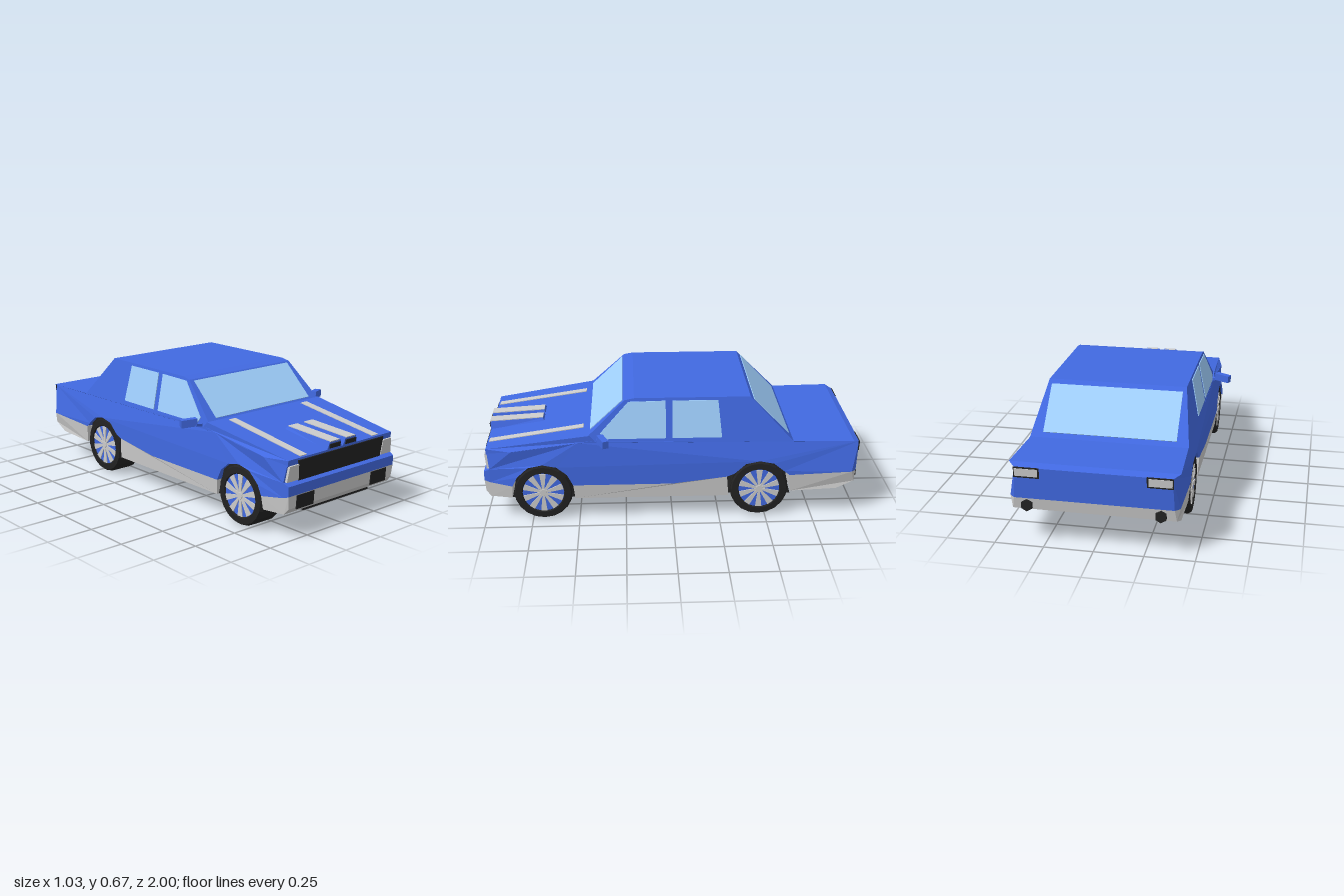
import * as THREE from 'three';

const mat = (color) => new THREE.MeshStandardMaterial({ color, flatShading: true, side: THREE.DoubleSide });
const BLUE = mat(0x4169e1), GREY = mat(0xcccccc), BLACK = mat(0x222222), GLASS = mat(0xa0d0ff);
const WHEEL_Y = 0.156, FRONT_Z = 0.69, REAR_Z = -0.465;

export function createModel() {
  const car = new THREE.Group();
  car.name = 'car';

  const add = (name, geo, material, parent = car) => {
    const mesh = new THREE.Mesh(geo, material);
    mesh.name = name;
    parent.add(mesh);
    return mesh;
  };

  // Side outline of [z, y] points, stretched across x from left(z, y) down to right(z, y)
  const slab = (name, pts, left, right, material) => {
    const shape = new THREE.Shape(pts.map(([z, y]) => new THREE.Vector2(z, y)));
    const geo = new THREE.ExtrudeGeometry(shape, { depth: 1, bevelEnabled: false });
    const p = geo.attributes.position;
    for (let i = 0; i < p.count; i++) {
      const z = p.getX(i), y = p.getY(i);
      p.setXYZ(i, p.getZ(i) < 0.5 ? left(z, y) : right(z, y), y, z);
    }
    geo.computeVertexNormals();
    return add(name, geo, material);
  };
  const wide = (name, pts, half, material) =>
    slab(name, pts, half, (z, y) => -half(z, y), material);
  const pair = (name, pts, outer, inner, material) => {
    slab(name + 'Left', pts, outer, inner, material);
    slab(name + 'Right', pts, (z, y) => -inner(z, y), (z, y) => -outer(z, y), material);
  };
  // Thin strip along the line a-b
  const strip = (a, b, t = 0.004) => {
    const len = Math.hypot(b[0] - a[0], b[1] - a[1]);
    const nz = -(b[1] - a[1]) / len * t, ny = (b[0] - a[0]) / len * t;
    return [[a[0] - nz, a[1] - ny], [b[0] - nz, b[1] - ny], [b[0] + nz, b[1] + ny], [a[0] + nz, a[1] + ny]];
  };
  const at = (x) => () => x;

  // Half widths of the body
  const plan = (z) => {
    if (z > 0.85) return 0.42 - (z - 0.85) * 0.23;
    if (z < -0.96) return 0.42 + (z + 0.96) * 1;
    return 0.42;
  };
  const bodyX = (z, y) => plan(z) - (y > 0.36 && z > -0.9 ? 0.012 : 0);
  const skirtX = (z, y) => plan(z) - (y < 0.18 ? 0.008 : 0);
  const cabinX = (z, y) => 0.406 - 0.2 * (y - 0.45);

  // Lower body with wheel arches
  const archTop = [[-0.13, 0.105], [-0.075, 0.15], [0, 0.165], [0.075, 0.15], [0.135, 0.095]];
  const archAt = (c) => archTop.map(([z, y]) => [z + c, y + WHEEL_Y]);
  wide('body', [
    [0.98, 0.375], [0.85, 0.395], [0.5, 0.44], [0.43, 0.45], [-0.64, 0.43], [-0.96, 0.43],
    [-0.995, 0.415], [-0.985, 0.25], [-0.96, 0.25], [-0.625, 0.237],
    ...archAt(REAR_Z), [-0.29, 0.235], [0, 0.2], [0.53, 0.2],
    ...archAt(FRONT_Z), [0.85, 0.2], [0.97, 0.215], [1, 0.225], [1, 0.275], [0.97, 0.29],
  ], bodyX, BLUE);

  // Hood, narrower along its top edge
  wide('hood', [[0.985, 0.37], [0.985, 0.4], [0.44, 0.48], [0.41, 0.45], [0.5, 0.438], [0.85, 0.393]],
    (z, y) => (y === 0.4 ? 0.375 : y === 0.48 ? 0.365 : bodyX(z, y)), BLUE);

  // Cabin and its glass
  wide('cabin', [[0.46, 0.44], [0.44, 0.48], [0.25, 0.66], [0.2, 0.67], [-0.41, 0.67], [-0.64, 0.43]],
    cabinX, BLUE);
  wide('windshield', strip([0.432, 0.488], [0.258, 0.652]), at(0.34), GLASS);
  wide('rearWindow', strip([-0.43, 0.649], [-0.62, 0.451]), at(0.345), GLASS);
  const paneOut = (z, y) => cabinX(z, y) + 0.004;
  const paneIn = (z, y) => cabinX(z, y) - 0.01;
  pair('frontDoorWindow', [[0.38, 0.49], [0.23, 0.652], [0.035, 0.655], [0.035, 0.46], [0.36, 0.46]], paneOut, paneIn, GLASS);
  pair('rearDoorWindow', [[0, 0.655], [-0.24, 0.655], [-0.26, 0.46], [0, 0.46]], paneOut, paneIn, GLASS);

  // Grey bumpers and sills
  wide('frontBumper', [[0.855, 0.13], [0.85, 0.2], [0.97, 0.215], [1, 0.228], [0.995, 0.16], [0.97, 0.13]], skirtX, GREY);
  wide('sills', [[0.52, 0.12], [0.53, 0.2], [0, 0.2], [-0.29, 0.235], [-0.3, 0.12]], skirtX, GREY);
  wide('rearBumper', [[-0.635, 0.14], [-0.62, 0.237], [-0.96, 0.25], [-0.985, 0.25], [-0.975, 0.19], [-0.88, 0.15]], skirtX, GREY);

  // Black underside
  wide('chassis', [[0.9, 0.118], [0.9, 0.33], [-0.7, 0.33], [-0.7, 0.13], [-0.64, 0.118]], at(0.265), BLACK);
  wide('floor', strip([0.5, 0.119], [-0.28, 0.119]), at(0.36), BLACK);
  wide('frontSplitter', strip([0.96, 0.122], [0.88, 0.122], 0.008), at(0.24), BLACK);

  // Front end
  wide('grille', strip([0.974, 0.284], [0.985, 0.39], 0.006), (z, y) => 0.3 + (y - 0.284) * 0.1, BLACK);
  pair('headlight', strip([0.976, 0.292], [0.985, 0.372], 0.008),
    (z, y) => 0.382 - (y - 0.29) * 0.12, (z, y) => 0.302 + (y - 0.29) * 0.1, GREY);
  pair('bumperVent', strip([0.996, 0.152], [1, 0.222], 0.003), at(0.33), at(0.21), BLACK);

  // Hood scoop and stripes
  pair('hoodStripe', strip([0.975, 0.401], [0.47, 0.476]), at(0.285), at(0.24), GREY);
  pair('hoodScoop', [[0.985, 0.395], [0.99, 0.438], [0.7, 0.456], [0.69, 0.435]],
    (z, y) => (y > 0.437 ? 0.095 : 0.11), (z, y) => (y > 0.437 ? 0.018 : 0.004), BLUE);
  pair('scoopStripe', strip([0.99, 0.439], [0.7, 0.457], 0.003), at(0.09), at(0.025), GREY);
  pair('scoopOpening', strip([0.988, 0.406], [0.991, 0.428], 0.003), at(0.095), at(0.02), BLACK);

  // Rear end
  pair('tailLight', strip([-0.993, 0.37], [-0.996, 0.41]), at(0.385), at(0.27), GREY);
  pair('tailLightRim', strip([-0.992, 0.362], [-0.995, 0.416], 0.003), at(0.39), at(0.262), BLACK);

  for (const side of [1, -1]) {
    const label = side > 0 ? 'Left' : 'Right';

    const exhaust = add('exhaust' + label, new THREE.CylinderGeometry(0.03, 0.03, 0.05, 6), BLACK);
    exhaust.rotation.x = Math.PI / 2;
    exhaust.position.set(side * 0.33, 0.215, -0.972);

    // Door mirror
    const mirror = new THREE.Group();
    mirror.name = 'mirror' + label;
    const arm = add('mirrorArm', new THREE.BoxGeometry(0.06, 0.014, 0.03), BLUE, mirror);
    arm.position.set(side * 0.415, 0.458, 0.385);
    arm.rotation.z = side * 0.15;
    const head = add('mirrorHead', new THREE.BoxGeometry(0.085, 0.04, 0.035), BLUE, mirror);
    head.position.set(side * 0.468, 0.473, 0.366);
    head.rotation.set(0, side * 0.4, side * -0.06);
    car.add(mirror);
  }

  // Wheels and black arch linings
  const v = (x, y) => new THREE.Vector2(x, y);
  const tireGeo = new THREE.LatheGeometry(
    [v(0.1, -0.075), v(0.145, -0.075), v(0.156, -0.06), v(0.156, 0.06), v(0.147, 0.076), v(0.115, 0.078), v(0.11, 0.068)], 20);
  const rimGeo = new THREE.CylinderGeometry(0.113, 0.113, 0.138, 20);
  const hubGeo = new THREE.CylinderGeometry(0.018, 0.02, 0.012, 10);
  const spokeGeo = new THREE.ExtrudeGeometry(
    new THREE.Shape([v(-0.005, 0.012), v(0.005, 0.012), v(0.017, 0.108), v(-0.017, 0.108)]),
    { depth: 0.006, bevelEnabled: false });

  for (const [end, z] of [['front', FRONT_Z], ['rear', REAR_Z]]) {
    const lining = [[z - 0.168, 0.122], ...archAt(z), [z + 0.165, 0.128]];
    pair(end + 'ArchLining', lining, at(0.4), at(0.262), BLACK);

    for (const side of [1, -1]) {
      const wheel = new THREE.Group();
      wheel.name = end + 'Wheel' + (side > 0 ? 'Left' : 'Right');
      wheel.position.set(side * 0.336, WHEEL_Y, z);
      wheel.rotation.y = side > 0 ? 0 : Math.PI;
      for (const [name, geo, material, x] of [
        ['tire', tireGeo, BLACK, 0], ['rim', rimGeo, BLUE, 0], ['hub', hubGeo, GREY, 0.072]]) {
        const part = add(name, geo, material, wheel);
        part.rotation.z = -Math.PI / 2;
        part.position.x = x;
      }
      const spokes = new THREE.Group();
      spokes.name = 'spokes';
      spokes.rotation.y = Math.PI / 2;
      spokes.position.x = 0.068;
      for (let i = 0; i < 10; i++) add('spoke', spokeGeo, GREY, spokes).rotation.z = i * Math.PI / 5;
      wheel.add(spokes);
      car.add(wheel);
    }
  }
  return car;
}
